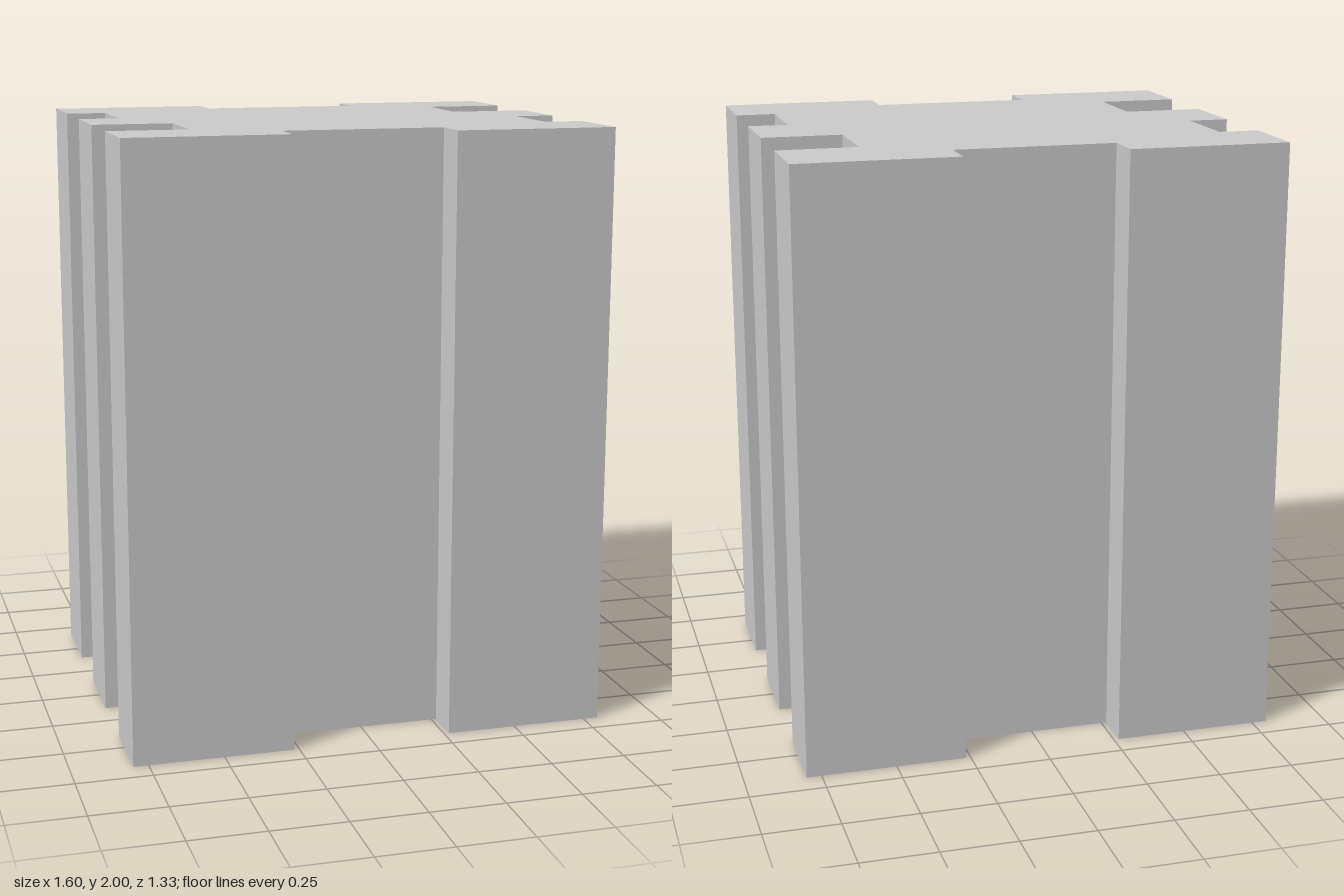
import * as THREE from 'three';

const U = 2 / 15; // grid unit of the cross-section
const HEIGHT = 2;

export function createModel() {
  const group = new THREE.Group();
  group.name = 'notchedBlock';

  // Right half of the outline in grid units, front notch to back notch
  const half = [
    [2, -4], [2, -5], [6, -5], [6, -3], // front corner
    [5, -3], [5, -1],                   // shallow side notch
    [6, -1], [6, 1],                    // middle rib
    [4, 1], [4, 3],                     // deep side notch
    [6, 3], [6, 5], [2, 5], [2, 4],     // back corner
  ];

  // The left half is the right half turned by 180 degrees
  const outline = [...half, ...half.map(([x, y]) => [-x, -y])]
    .map(([x, y]) => new THREE.Vector2(x * U, y * U));

  const geometry = new THREE.ExtrudeGeometry(new THREE.Shape(outline), {
    depth: HEIGHT,
    bevelEnabled: false,
  });
  geometry.rotateX(-Math.PI / 2); // extrude upwards from y = 0

  const block = new THREE.Mesh(
    geometry,
    new THREE.MeshStandardMaterial({ color: 0xcccccc, flatShading: true })
  );
  block.name = 'block';
  group.add(block);
  return group;
}
